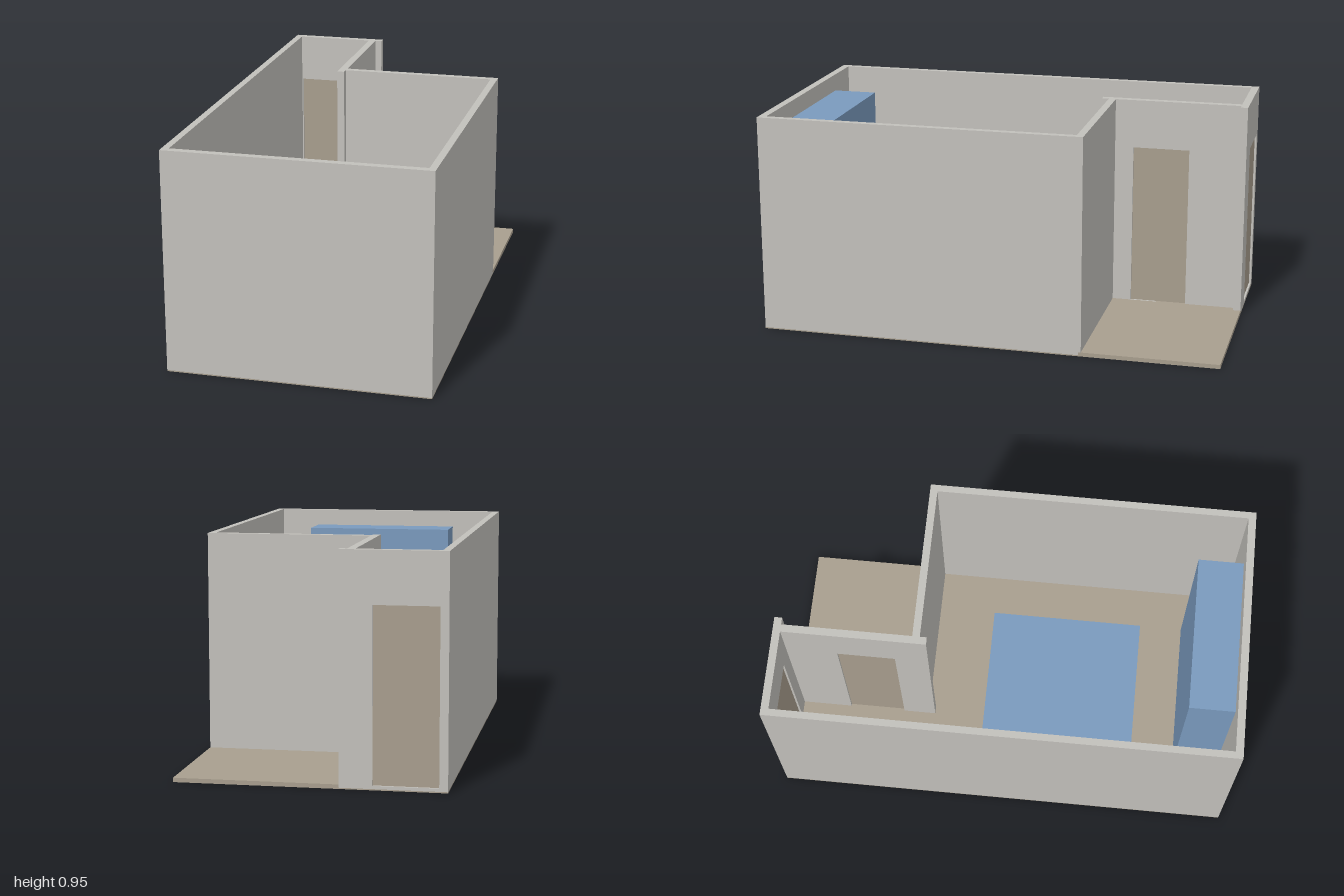
import * as THREE from 'three';

const wallMat = new THREE.MeshStandardMaterial({ name: 'wall grey', color: 0xc2c0bb });
const woodMat = new THREE.MeshStandardMaterial({ name: 'floor and door brown', color: 0xa89e8e });
const blueMat = new THREE.MeshStandardMaterial({ name: 'furniture blue', color: 0x7a9abd });

const BASE = 0.005, FLOOR = 0.018, TOP = 0.95, DOOR_TOP = 0.735;
const WALL = 0.033;

// Box given by its limits on each axis
function box(name, mat, [x0, x1], [y0, y1], [z0, z1]) {
  const geo = new THREE.BoxGeometry(x1 - x0, y1 - y0, z1 - z0);
  geo.translate((x0 + x1) / 2, (y0 + y1) / 2, (z0 + z1) / 2);
  const mesh = new THREE.Mesh(geo, mat);
  mesh.name = name;
  return mesh;
}

// Wall along local x with a door opening, and a thinner door leaf set into it
function doorWall(name, [u0, u1], [d0, d1]) {
  const shape = new THREE.Shape();
  [[u0, BASE], [u1, BASE], [u1, TOP], [u0, TOP]].forEach(([x, y], i) =>
    i ? shape.lineTo(x, y) : shape.moveTo(x, y));
  const hole = new THREE.Path();
  [[d0, FLOOR], [d0, DOOR_TOP], [d1, DOOR_TOP], [d1, FLOOR]].forEach(([x, y], i) =>
    i ? hole.lineTo(x, y) : hole.moveTo(x, y));
  shape.holes.push(hole);
  const group = new THREE.Group();
  group.name = name;
  const wall = new THREE.Mesh(
    new THREE.ExtrudeGeometry(shape, { depth: WALL, bevelEnabled: false }), wallMat);
  wall.name = name + 'Panel';
  group.add(wall, box(name + 'Door', woodMat, [d0, d1], [FLOOR, DOOR_TOP], [0.009, WALL - 0.009]));
  return group;
}

export function createModel() {
  const model = new THREE.Group();
  model.name = 'bedroom';

  // Ground slab, with the floor covering the room and the open back corner
  model.add(box('slab', woodMat, [-0.555, 0.555], [0, BASE], [-1, 1]));
  const outline = [[-0.54, 0.985], [0.54, 0.985], [0.54, -0.4], [0.555, -0.4],
    [0.555, -1], [-0.12, -1], [-0.12, -0.985], [-0.54, -0.985]];
  const floorShape = new THREE.Shape(outline.map(([x, z]) => new THREE.Vector2(x, -z)));
  const floorGeo = new THREE.ExtrudeGeometry(floorShape, { depth: FLOOR - BASE, bevelEnabled: false });
  floorGeo.rotateX(-Math.PI / 2).translate(0, BASE, 0);
  const floor = new THREE.Mesh(floorGeo, woodMat);
  floor.name = 'floor';
  model.add(floor);

  // Plain walls
  const h = [BASE, TOP];
  model.add(
    box('longSideWall', wallMat, [-0.555, -0.525], h, [-1, 1]),
    box('frontWall', wallMat, [-0.525, 0.525], h, [0.967, 1]),
    box('shortSideWall', wallMat, [0.525, 0.555], h, [-0.412, 1]),
    box('crossWall', wallMat, [-0.15, 0.525], h, [-0.412, -0.38]),
  );

  // Back wall and hall partition, each with a door
  const back = doorWall('backWall', [-0.525, -0.12], [-0.52, -0.255]);
  back.position.z = -1;
  const partition = doorWall('partition', [-1 + WALL, -0.35], [-0.745, -0.495]);
  partition.rotation.y = -Math.PI / 2;
  partition.position.x = -0.15;
  model.add(back, partition);

  // Furniture
  model.add(
    box('bed', blueMat, [-0.525, 0.205], [FLOOR, 0.385], [-0.105, 0.56]),
    box('nightstand', blueMat, [-0.525, -0.37], [FLOOR, 0.265], [-0.325, -0.13]),
    box('wardrobe', blueMat, [-0.33, 0.345], [FLOOR, 0.875], [0.77, 0.965]),
  );
  return model;
}
